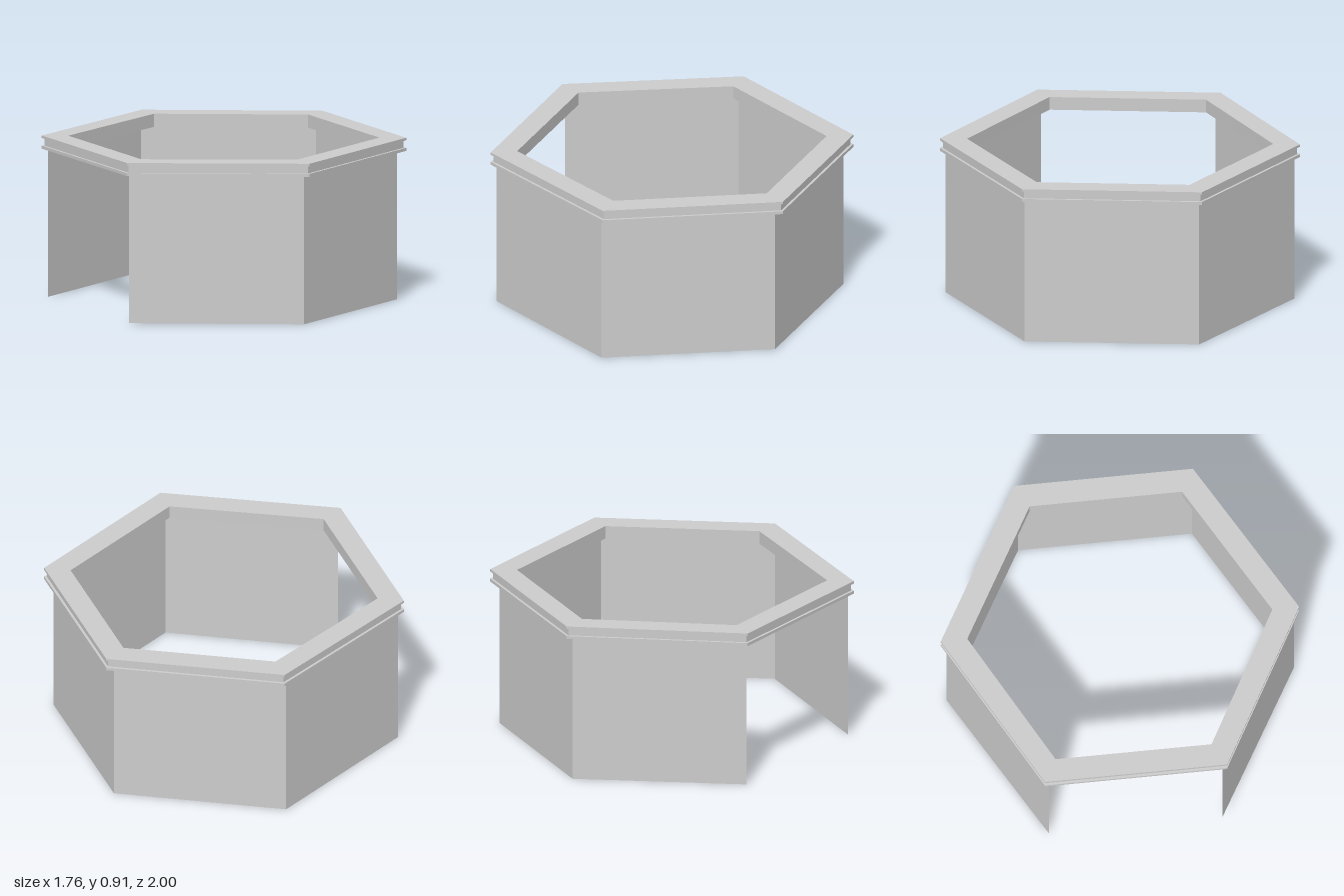
import * as THREE from 'three';

// Flat-shaded surface from a list of four-corner faces
function quads(faces) {
  const pos = [];
  for (const [a, b, c, d] of faces) {
    for (const p of [a, b, c, a, c, d]) pos.push(...p);
  }
  const geo = new THREE.BufferGeometry();
  geo.setAttribute('position', new THREE.Float32BufferAttribute(pos, 3));
  geo.computeVertexNormals();
  return geo;
}

export function createModel() {
  const model = new THREE.Group();
  const grey = new THREE.MeshStandardMaterial({ color: 0xcccccc, flatShading: true });
  grey.name = 'light grey';
  const sheet = new THREE.MeshStandardMaterial({ color: 0xcccccc, flatShading: true, side: THREE.DoubleSide });
  sheet.name = 'light grey sheet';

  // Rim corners [x, z], counterclockwise from above, starting at the front point
  const outer = [[0.005, 1], [0.877, 0.496], [0.877, -0.503], [0.005, -1], [-0.88, -0.51], [-0.88, 0.508]];
  const inner = [[0.005, 0.85], [0.748, 0.422], [0.748, -0.428], [0.005, -0.852], [-0.752, -0.437], [-0.752, 0.433]];

  // Rim section [inset from outer (0) to inner (1), y]: two flanges with a groove between
  const section = [
    [0, 0.833], [0, 0.85], [0.11, 0.85], [0.11, 0.893],
    [0, 0.893], [0, 0.907], [1, 0.907], [1, 0.833],
  ];
  const rimPoint = (i, j) => {
    const o = outer[i % 6], n = inner[i % 6], [t, y] = section[j % section.length];
    return [o[0] + (n[0] - o[0]) * t, y, o[1] + (n[1] - o[1]) * t];
  };
  const rimFaces = [];
  for (let i = 0; i < 6; i++) {
    for (let j = 0; j < section.length; j++) {
      rimFaces.push([rimPoint(i, j), rimPoint(i + 1, j), rimPoint(i + 1, j + 1), rimPoint(i, j + 1)]);
    }
  }
  const rim = new THREE.Mesh(quads(rimFaces), grey);
  rim.name = 'rim';
  model.add(rim);

  // Five thin walls; the side facing -x stays open
  const wallPoint = (i, y) => {
    const a = i * Math.PI / 3;
    return [-0.015 + 0.97 * Math.sin(a), y, 0.97 * Math.cos(a)];
  };
  for (let i = 0; i < 6; i++) {
    if (i === 4) continue;
    const wall = new THREE.Mesh(
      quads([[wallPoint(i, 0), wallPoint(i + 1, 0), wallPoint(i + 1, 0.833), wallPoint(i, 0.833)]]), sheet);
    wall.name = 'wall' + (i + 1);
    model.add(wall);
  }
  return model;
}
